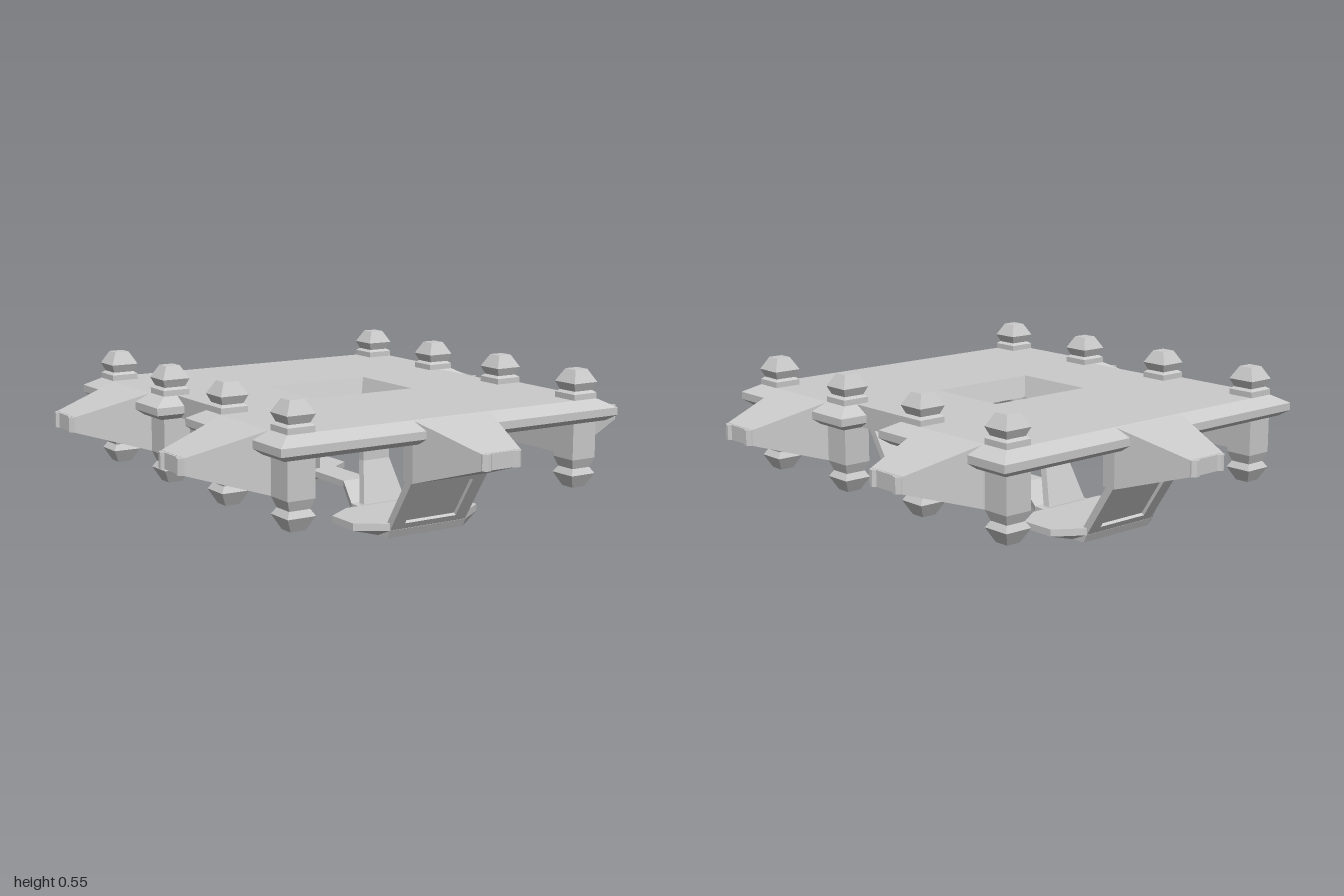
import * as THREE from 'three';

const material = new THREE.MeshStandardMaterial({ color: 0xcccccc, flatShading: true });

function addMesh(parent, name, geometry) {
  const mesh = new THREE.Mesh(geometry, material);
  mesh.name = name;
  parent.add(mesh);
  return mesh;
}

// Skin a list of rings; the ends are capped unless the skin closes on itself
function loft(rings, closed = false) {
  const pos = [];
  const n = rings[0].length;
  const tri = (a, b, c) => pos.push(...a, ...b, ...c);
  const bands = closed ? rings.length : rings.length - 1;
  for (let r = 0; r < bands; r++) {
    const low = rings[r], high = rings[(r + 1) % rings.length];
    for (let i = 0; i < n; i++) {
      const j = (i + 1) % n;
      tri(low[i], low[j], high[j]);
      tri(low[i], high[j], high[i]);
    }
  }
  if (!closed) {
    const first = rings[0], last = rings[rings.length - 1];
    for (let i = 1; i < n - 1; i++) {
      tri(first[0], first[i + 1], first[i]);
      tri(last[0], last[i], last[i + 1]);
    }
  }
  const g = new THREE.BufferGeometry();
  g.setAttribute('position', new THREE.Float32BufferAttribute(pos, 3));
  g.computeVertexNormals();
  return g;
}

// Horizontal rectangle at height y
const flat = (x0, x1, z0, z1, y) => [[x0, y, z1], [x1, y, z1], [x1, y, z0], [x0, y, z0]];
// Upright rectangle at depth z
const upright = (w, y0, y1, z) => [[-w, y0, z], [w, y0, z], [w, y1, z], [-w, y1, z]];

// Edge profile of the deck: [inset, height]
const edge = [[0.03, 0.362], [0, 0.383], [0, 0.411], [0.055, 0.442]];

function deck() {
  const group = new THREE.Group();
  group.name = 'deck';
  // Centre with its tapered hole
  const rings = edge.map(([d, y]) => flat(-0.6, 0.6, -0.767 + d, 0.767 - d, y));
  rings.push(flat(-0.22, 0.22, -0.165, 0.165, 0.442), flat(-0.195, 0.195, -0.14, 0.14, 0.362));
  addMesh(group, 'deckCentre', loft(rings, true));
  // Bevelled flanges beside the notches
  for (const s of [0, 1]) {
    for (const front of [false, true]) {
      const z0 = front ? 0.11 : -0.767, z1 = front ? 0.767 : -0.11;
      const flange = edge.map(([d, y]) => flat(0.6, 0.71 - d, z0 + d, z1 - d, y));
      addMesh(group, 'deckFlange', loft(flange)).rotation.y = s * Math.PI;
    }
  }
  return group;
}

// Square post with stepped caps at both ends: [half width, height]
function post(x, z) {
  const profile = [[0.028, 0.113], [0.054, 0.163], [0.04, 0.186], [0.053, 0.222],
    [0.053, 0.463], [0.041, 0.472], [0.054, 0.502], [0.028, 0.549]];
  const mesh = new THREE.Mesh(loft(profile.map(([w, y]) => flat(-w, w, -w, w, y))), material);
  mesh.name = 'post';
  mesh.position.set(x, 0, z);
  return mesh;
}

// Tapered arm with a notched tip, pointing along +z from its root at z = 0
function arm() {
  const group = new THREE.Group();
  group.name = 'arm';
  addMesh(group, 'armBody', loft([
    upright(0.163, 0.222, 0.441, -0.055),
    upright(0.163, 0.222, 0.441, 0),
    upright(0.082, 0.305, 0.363, 0.27),
  ]));
  const half = [[0.082, 0], [0.082, 0.006], [0.068, 0.018], [0.055, 0.018], [0.045, 0.008]];
  const outline = [...half, ...half.map(([x, z]) => [-x, z]).reverse()];
  const tip = new THREE.ExtrudeGeometry(
    new THREE.Shape(outline.map(p => new THREE.Vector2(...p))),
    { depth: 0.056, bevelEnabled: false });
  tip.rotateX(Math.PI / 2).translate(0, 0.362, 0.27);
  addMesh(group, 'armTip', tip);
  return group;
}

// Framed, recessed panel sloping from the arm down to the foot
function slopingPanel() {
  const group = new THREE.Group();
  group.name = 'slopingPanel';
  const length = 0.235;
  const rect = (w, y0, y1, Type) => new Type([
    new THREE.Vector2(-w, y0), new THREE.Vector2(w, y0),
    new THREE.Vector2(w, y1), new THREE.Vector2(-w, y1)]);
  const frame = rect(0.163, 0, length, THREE.Shape);
  frame.holes.push(rect(0.11, 0.03, length - 0.025, THREE.Path));
  addMesh(group, 'panelFrame', new THREE.ExtrudeGeometry(frame, { depth: 0.014, bevelEnabled: false }))
    .position.z = -0.014;
  addMesh(group, 'panelBack', new THREE.BoxGeometry(0.326, length, 0.016))
    .position.set(0, length / 2, -0.021);
  group.position.set(0, 0.028, 0.58);
  group.rotation.x = Math.atan2(0.125, 0.192);
  return group;
}

// Boat-shaped foot with a raised underside at its two points
function foot() {
  const outline = (mid, tip, zo, zi, y) => [
    [-mid, y, zo], [mid, y, zo], [tip, y, 0.51], [tip, y, 0.375],
    [mid, y, zi], [-mid, y, zi], [-tip, y, 0.375], [-tip, y, 0.51]];
  return loft([
    outline(0.164, 0.165, 0.568, 0.318, 0),
    outline(0.165, 0.27, 0.582, 0.305, 0.03),
    outline(0.165, 0.27, 0.582, 0.305, 0.056),
  ]);
}

// Bent strut from the inner end of the foot up to the deck: [half width, height, depth]
function innerStrut() {
  const path = [[0.11, 0.03, 0.285], [0.09, 0.06, 0.28], [0.057, 0.21, 0.225], [0.057, 0.3, 0.225], [0.09, 0.37, 0.25]];
  return loft(path.map(([w, y, z]) => flat(-w, w, z, z + 0.03, y)));
}

// Raised bridge joining the two feet: [half width, height, depth]
function bridge() {
  const side = [[0.11, 0.03, 0.31], [0.11, 0.032, 0.255], [0.057, 0.085, 0.12]];
  const path = [...side.map(([w, y, z]) => [w, y, -z]), ...side.slice().reverse()];
  return loft(path.map(([w, y, z]) => upright(w, y, y + 0.024, z)));
}

export function createModel() {
  const model = new THREE.Group();
  model.name = 'platform';
  model.add(deck());

  for (const x of [-0.602, 0.602]) {
    for (const z of [-0.66, -0.22, 0.22, 0.66]) model.add(post(x, z));
  }

  // Two arms on each side
  for (const s of [-1, 1]) {
    for (const z of [-0.438, 0.438]) {
      const side = arm();
      side.name = 'sideArm';
      side.position.set(s * 0.655, 0, z);
      side.rotation.y = s * Math.PI / 2;
      model.add(side);
    }
  }

  // Front and back ends: arm, panel, foot and strut
  for (const turn of [0, Math.PI]) {
    const end = new THREE.Group();
    end.name = turn ? 'backLeg' : 'frontLeg';
    const endArm = arm();
    endArm.position.z = 0.712;
    end.add(endArm, slopingPanel());
    addMesh(end, 'foot', foot());
    addMesh(end, 'innerStrut', innerStrut());
    end.rotation.y = turn;
    model.add(end);
  }

  addMesh(model, 'bridge', bridge());
  return model;
}
